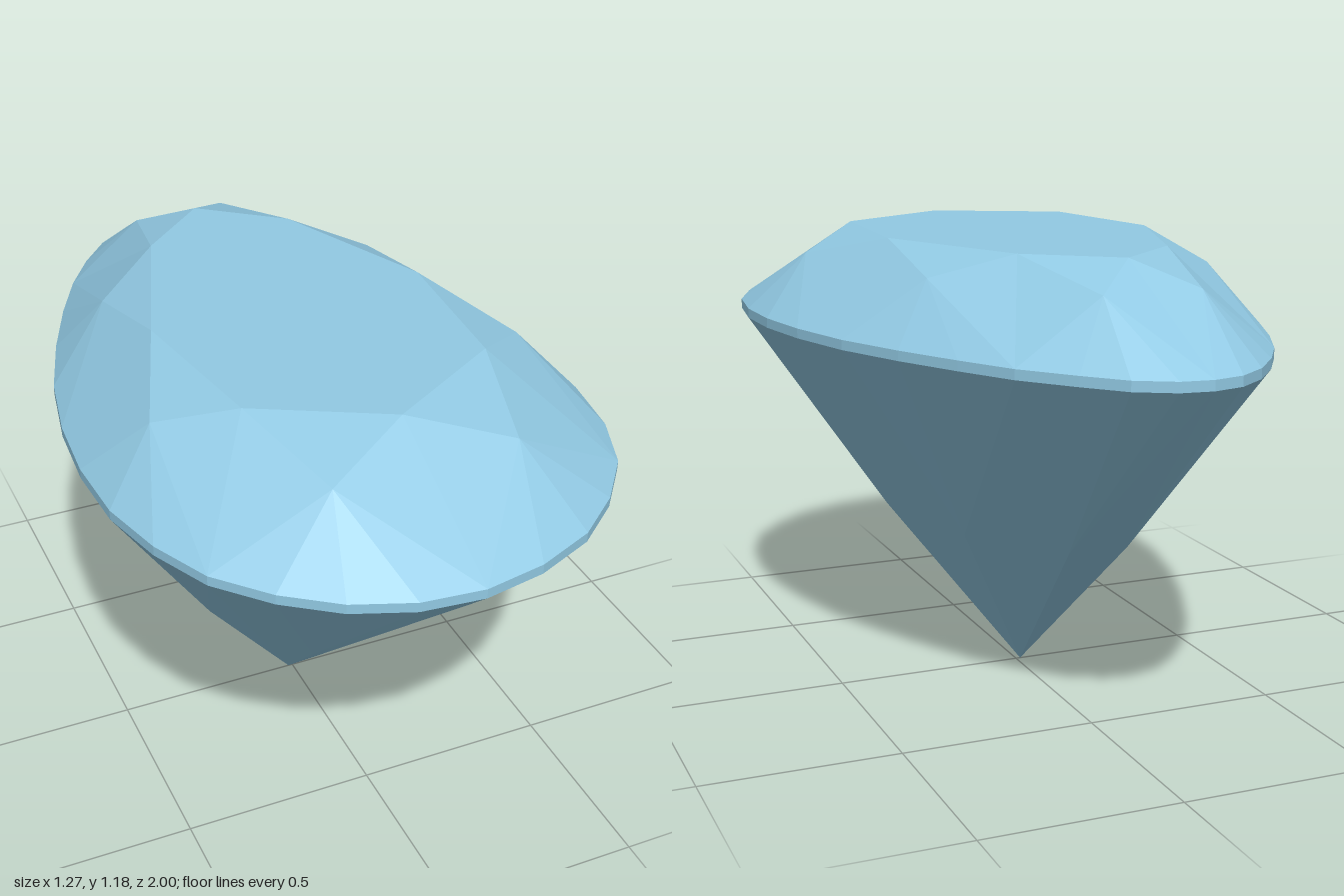
import * as THREE from 'three';

// Pear-shaped girdle outline as [x, z], from the narrow back tip round by the left (+x)
const OUTLINE = [
  [-0.05, -1], [0.03, -0.99], [0.12, -0.94], [0.2, -0.85],
  [0.3, -0.725], [0.38, -0.58], [0.465, -0.41], [0.545, -0.22],
  [0.6, -0.02], [0.63, 0.165], [0.635, 0.345], [0.61, 0.525],
  [0.55, 0.68], [0.45, 0.805], [0.33, 0.905], [0.18, 0.97],
  [0.025, 1], [-0.13, 0.985], [-0.275, 0.93], [-0.4, 0.84],
  [-0.51, 0.72], [-0.58, 0.57], [-0.625, 0.4], [-0.635, 0.21],
  [-0.62, 0.015], [-0.58, -0.185], [-0.515, -0.38], [-0.44, -0.56],
  [-0.365, -0.71], [-0.29, -0.825], [-0.21, -0.92], [-0.13, -0.98],
];
const N = OUTLINE.length;
const CENTRE_X = -0.012;
const GIRDLE_TOP = 0.965, GIRDLE_BOTTOM = 0.94;

// Point number i of the outline, shrunk towards the gem's axis and set at height y
function ring(i, scale, y) {
  const [x, z] = OUTLINE[(i + N) % N];
  return [CENTRE_X + (x - CENTRE_X) * scale, y, z * scale];
}

const table = (i) => ring(i, 0.6, 1.18);
const crownMid = (i) => ring(i, 0.78, 1.117);
const girdleTop = (i) => ring(i, 1, GIRDLE_TOP);
const girdleBottom = (i) => ring(i, 1, GIRDLE_BOTTOM);
const pavilionMid = (i) => ring(i, 0.5, 0.436);

// Mesh of flat facets, each a convex polygon listed counter-clockwise from outside
function facetMesh(name, facets, material) {
  const positions = [];
  for (const f of facets) {
    for (let i = 1; i < f.length - 1; i++) positions.push(...f[0], ...f[i], ...f[i + 1]);
  }
  const geometry = new THREE.BufferGeometry();
  geometry.setAttribute('position', new THREE.Float32BufferAttribute(positions, 3));
  geometry.computeVertexNormals();
  const mesh = new THREE.Mesh(geometry, material);
  mesh.name = name;
  return mesh;
}

export function createModel() {
  const gemBlue = new THREE.MeshStandardMaterial({ color: 0x92cae4 });
  gemBlue.name = 'gem blue';

  const tableFace = [], crown = [], girdle = [], pavilion = [];
  const culet = [CENTRE_X, 0, 0];

  for (let i = 0; i < N; i += 4) {
    tableFace.unshift(table(i));

    // Crown: star facet, kite facet and a fan of upper girdle facets
    crown.push([table(i), crownMid(i + 2), table(i + 4)].reverse());
    crown.push([table(i), crownMid(i + 2), girdleTop(i), crownMid(i - 2)]);
    for (let j = i; j < i + 4; j++) {
      crown.push([crownMid(i + 2), girdleTop(j + 1), girdleTop(j)]);
    }

    // Pavilion: long kite down to the point and a fan of lower girdle facets
    pavilion.push([culet, pavilionMid(i - 2), girdleBottom(i), pavilionMid(i + 2)]);
    for (let j = i; j < i + 4; j++) {
      pavilion.push([pavilionMid(i + 2), girdleBottom(j), girdleBottom(j + 1)]);
    }
  }

  // Star facets must face upwards: order table, next table, middle clockwise from below
  for (const f of [...crown, tableFace]) {
    const [a, b, c] = f;
    const up = (b[2] - a[2]) * (c[0] - a[0]) - (b[0] - a[0]) * (c[2] - a[2]);
    if (up < 0) f.reverse();
  }
  // Pavilion facets must face downwards
  for (const f of pavilion) {
    const [a, b, c] = f;
    const up = (b[2] - a[2]) * (c[0] - a[0]) - (b[0] - a[0]) * (c[2] - a[2]);
    if (up > 0) f.reverse();
  }

  // Thin upright band round the widest part
  for (let i = 0; i < N; i++) {
    girdle.push([girdleTop(i), girdleTop(i + 1), girdleBottom(i + 1), girdleBottom(i)]);
  }

  const gem = new THREE.Group();
  gem.name = 'pearCutGem';
  gem.add(
    facetMesh('table', [tableFace], gemBlue),
    facetMesh('crown', crown, gemBlue),
    facetMesh('girdle', girdle, gemBlue),
    facetMesh('pavilion', pavilion, gemBlue),
  );
  return gem;
}
